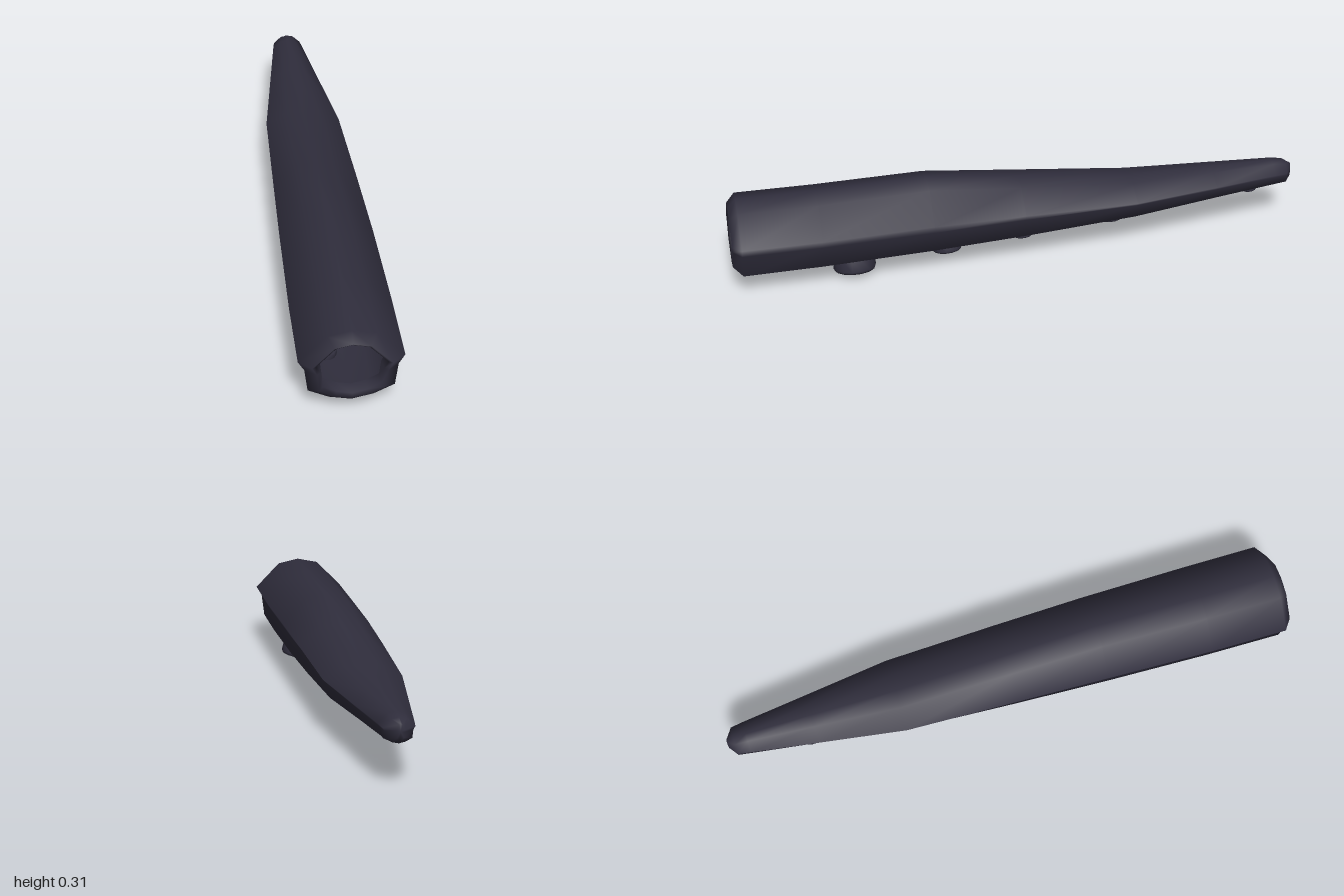
import * as THREE from 'three';

const skin = new THREE.MeshStandardMaterial({ color: 0x302e3d, side: THREE.DoubleSide });
skin.name = 'dark violet skin';

// Half cross-section: [x fraction, y fraction above or below the middle]
const HALF = [[0, 1], [0.46, 0.88], [1, 0.2], [0.88, -0.05], [0.82, -0.65], [0.42, -0.89], [0, -1]];
const RING = [...HALF, ...HALF.slice(1, -1).reverse().map(([x, y]) => [-x, y])];

// Stations along the limb: [z, half width, top, middle, bottom]
const STATIONS = [
  [0.95, 0.108, 0.26, 0.17, 0.08],
  [0.99, 0.112, 0.265, 0.17, 0.075],
  [1.0, 0.125, 0.275, 0.17, 0.063],
  [0.97, 0.166, 0.305, 0.17, 0.035],
  [0.7, 0.165, 0.305, 0.17, 0.039],
  [0.32, 0.157, 0.315, 0.175, 0.05],
  [0, 0.147, 0.28, 0.18, 0.066],
  [-0.4, 0.133, 0.238, 0.18, 0.1],
  [-0.7, 0.09, 0.236, 0.185, 0.126],
  [-0.93, 0.057, 0.234, 0.19, 0.143],
  [-0.975, 0.05, 0.228, 0.19, 0.146],
  [-1.0, 0.012, 0.215, 0.19, 0.16],
];

// Open-ended shell lofted through the stations, closed at the tip
function limbGeometry() {
  const pos = [], index = [], n = RING.length;
  for (const [z, w, top, mid, bottom] of STATIONS) {
    for (const [fx, fy] of RING) {
      pos.push(fx * w, mid + fy * (fy > 0 ? top - mid : mid - bottom), z);
    }
  }
  for (let i = 0; i < STATIONS.length - 1; i++) {
    for (let j = 0; j < n; j++) {
      const a = i * n + j, b = i * n + (j + 1) % n;
      index.push(a, b, a + n, b, b + n, a + n);
    }
  }
  const last = (STATIONS.length - 1) * n;
  pos.push(0, 0.19, -1);
  for (let j = 0; j < n; j++) index.push(last + j, last + (j + 1) % n, last + n);
  const g = new THREE.BufferGeometry();
  g.setAttribute('position', new THREE.Float32BufferAttribute(pos, 3));
  g.setIndex(index);
  g.computeVertexNormals();
  return g;
}

// Suckers: [x, bottom y, z, radius]
const SUCKERS = [
  [-0.068, 0.034, 0.75, 0.046], [0.051, 0.014, 0.585, 0.074],
  [-0.03, 0.04, 0.395, 0.046], [0.045, 0.046, 0.26, 0.052],
  [-0.058, 0.05, 0.235, 0.046], [-0.02, 0.056, 0.04, 0.056],
  [0.045, 0.066, -0.01, 0.034], [-0.045, 0.068, -0.16, 0.064],
  [0.025, 0.088, -0.33, 0.047], [-0.015, 0.1, -0.5, 0.04],
  [-0.03, 0.116, -0.72, 0.037], [-0.005, 0.126, -0.85, 0.031],
];

// Short cup with a dished underside
function suckerGeometry(r) {
  const h = r * 0.75;
  const profile = [[0, 0.42], [0.45, 0.34], [0.8, 0.02], [0.95, 0], [1, 0.15], [0.97, 0.85], [0.85, 1], [0, 1]];
  return new THREE.LatheGeometry(profile.map(([x, y]) => new THREE.Vector2(x * r, y * h)), 14);
}

export function createModel() {
  const model = new THREE.Group();
  model.name = 'tentacle';

  const limb = new THREE.Mesh(limbGeometry(), skin);
  limb.name = 'limb';
  model.add(limb);

  const suckers = new THREE.Group();
  suckers.name = 'suckers';
  SUCKERS.forEach(([x, y, z, r], i) => {
    const sucker = new THREE.Mesh(suckerGeometry(r), skin);
    sucker.name = `sucker${i + 1}`;
    sucker.position.set(x, y, z);
    // follow the curve of the belly
    sucker.rotation.set(z < 0.3 ? 0.07 : 0.02, 0, x * 3.8);
    suckers.add(sucker);
  });
  model.add(suckers);
  return model;
}
